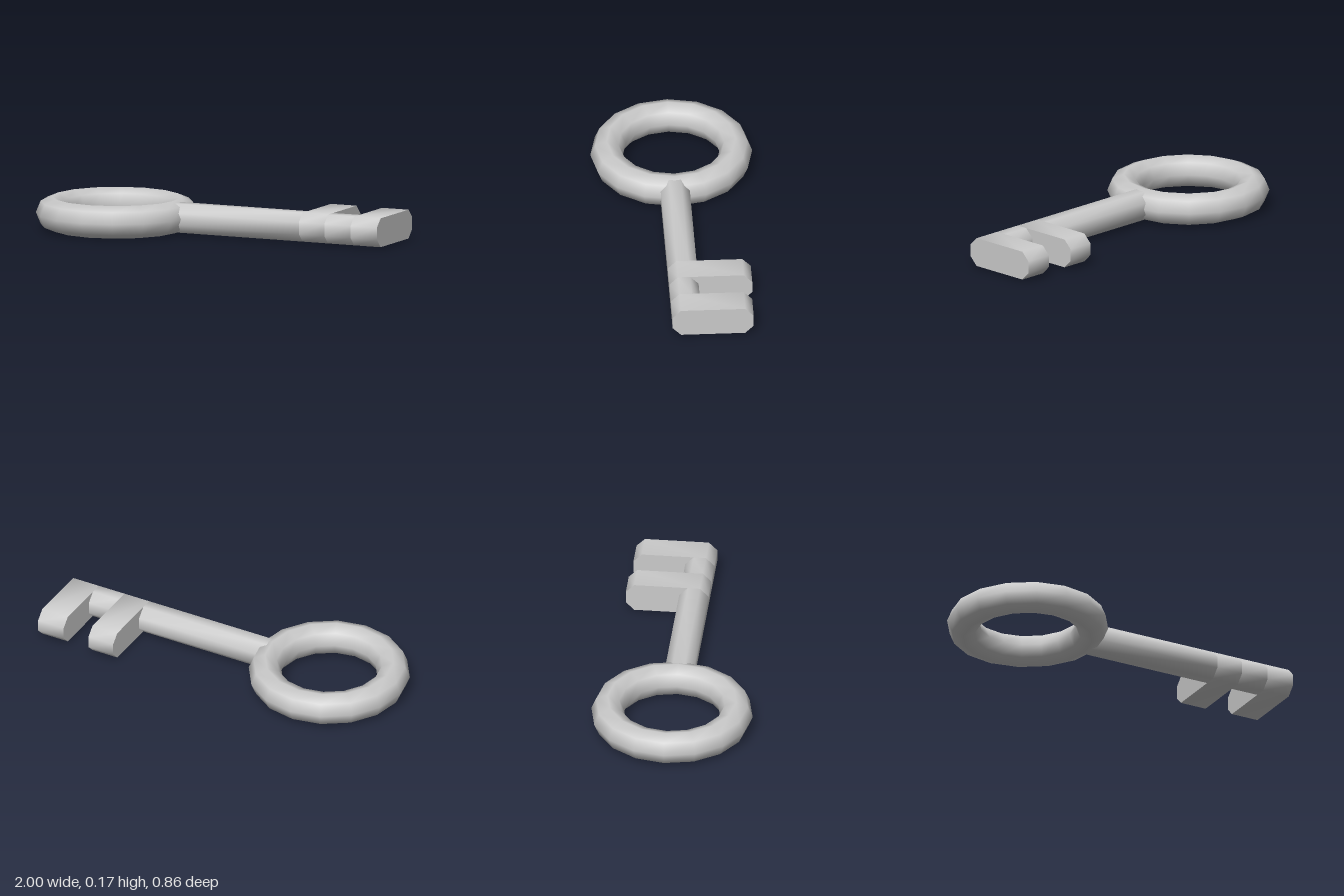
import * as THREE from 'three';
import { toCreasedNormals } from 'three/addons/utils/BufferGeometryUtils.js';

const MID = 0.0875;   // height of the key's centre plane
const HALF = 0.0775;  // half thickness of shaft and bits
const CUT = 0.045;    // size of the chamfers

export function createModel() {
  const key = new THREE.Group();
  key.name = 'key';
  const material = new THREE.MeshStandardMaterial({ color: 0xcccccc });

  const add = (name, geometry) => {
    const mesh = new THREE.Mesh(geometry, material);
    mesh.name = name;
    key.add(mesh);
    return mesh;
  };

  // Chamfered prism running along x, reaching back to z = -back
  const prism = (name, x0, x1, back) => {
    const shape = new THREE.Shape([
      [-HALF, -HALF + CUT], [-HALF + CUT, -HALF], [back - CUT, -HALF], [back, -HALF + CUT],
      [back, HALF - CUT], [back - CUT, HALF], [-HALF + CUT, HALF], [-HALF, HALF - CUT],
    ].map(([u, v]) => new THREE.Vector2(u, v)));
    const geometry = new THREE.ExtrudeGeometry(shape, { depth: x1 - x0, bevelEnabled: false });
    geometry.rotateY(Math.PI / 2);
    add(name, toCreasedNormals(geometry, 0.87)).position.set(x0, MID, 0);
  };

  // Ring-shaped handle
  const ring = new THREE.TorusGeometry(0.343, 0.0875, 8, 16);
  ring.rotateX(Math.PI / 2);
  add('ringHandle', ring).position.set(-0.57, MID, 0);

  // Shaft, with two bits standing out at the back
  prism('shaft', -0.222, 0.54, HALF);
  prism('innerBit', 0.54, 0.69, 0.363);
  prism('shaftBetweenBits', 0.69, 0.845, HALF);
  prism('endBit', 0.845, 1, 0.354);

  return key;
}
